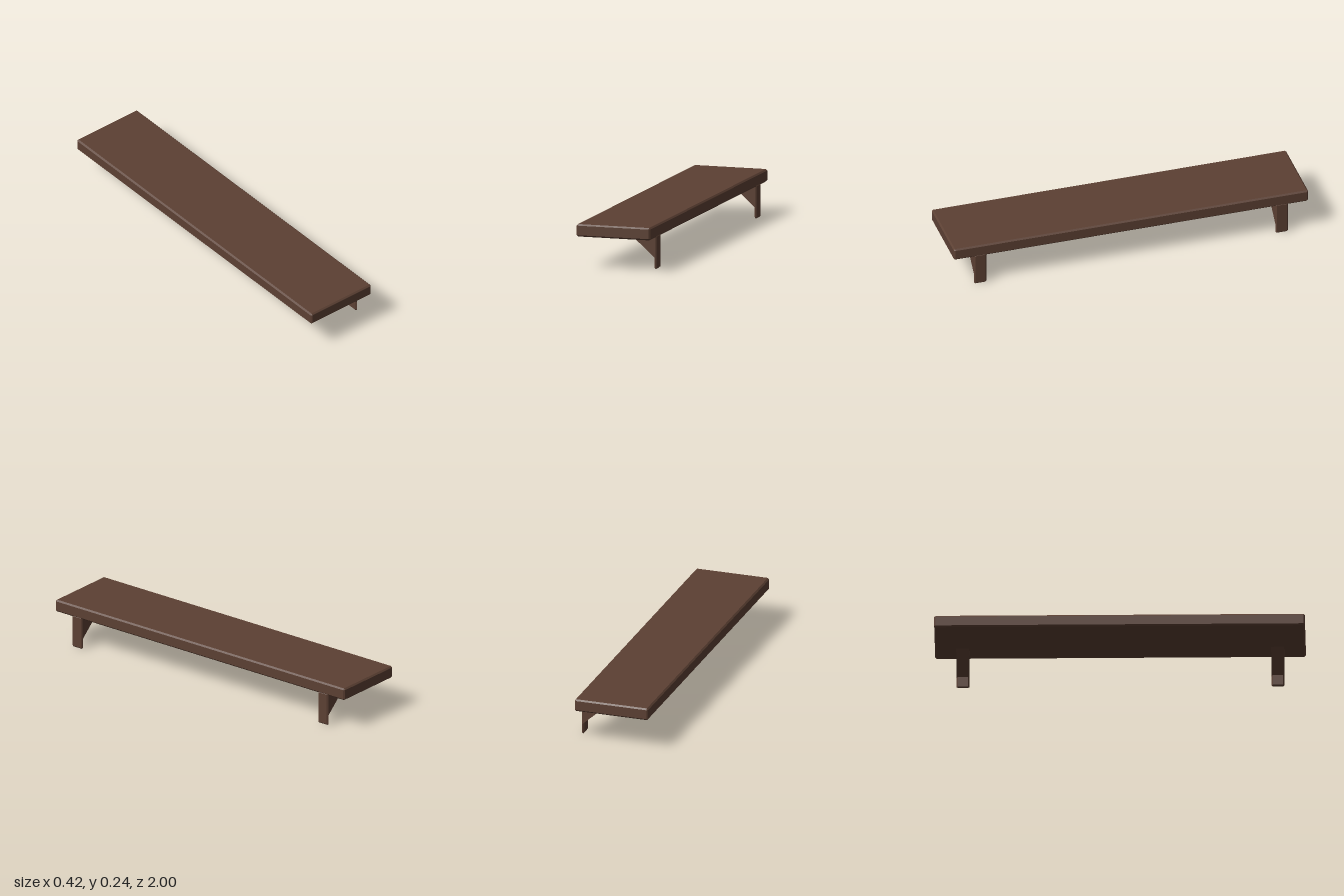
import * as THREE from 'three';
import { ConvexGeometry } from 'three/addons/geometries/ConvexGeometry.js';

// Box with a flat 45-degree chamfer on every edge
function chamferedBox(w, h, d, c) {
  const points = [];
  for (const sx of [-1, 1]) for (const sy of [-1, 1]) for (const sz of [-1, 1]) {
    const [x, y, z] = [w / 2, h / 2, d / 2];
    points.push(
      new THREE.Vector3(sx * x, sy * (y - c), sz * (z - c)),
      new THREE.Vector3(sx * (x - c), sy * y, sz * (z - c)),
      new THREE.Vector3(sx * (x - c), sy * (y - c), sz * z)
    );
  }
  return new ConvexGeometry(points);
}

export function createModel() {
  const model = new THREE.Group();
  model.name = 'wallShelf';
  const wood = new THREE.MeshStandardMaterial({ color: 0x5c4033, flatShading: true });

  const add = (parent, name, geometry, x, y, z) => {
    const mesh = new THREE.Mesh(geometry, wood);
    mesh.name = name;
    mesh.position.set(x, y, z);
    parent.add(mesh);
  };

  // Shelf board
  add(model, 'board', chamferedBox(0.42, 0.068, 2, 0.008), 0, 0.209, 0);

  // Brackets: a thin wall plate and a triangular gusset under the board
  const width = 0.07;
  const plate = chamferedBox(0.014, 0.185, width, 0.0068);
  const triangle = new THREE.Shape([
    new THREE.Vector2(0.07, 0.176),
    new THREE.Vector2(0.202, 0.058),
    new THREE.Vector2(0.202, 0.176)
  ]);
  const gusset = new THREE.ExtrudeGeometry(triangle, { depth: width, bevelEnabled: false });
  gusset.translate(0, 0, -width / 2);

  for (const side of [-1, 1]) {
    const bracket = new THREE.Group();
    bracket.name = side > 0 ? 'frontBracket' : 'backBracket';
    bracket.position.z = side * 0.85;
    add(bracket, 'wallPlate', plate, 0.202, 0.0925, 0);
    add(bracket, 'gusset', gusset, 0, 0, 0);
    model.add(bracket);
  }
  return model;
}
